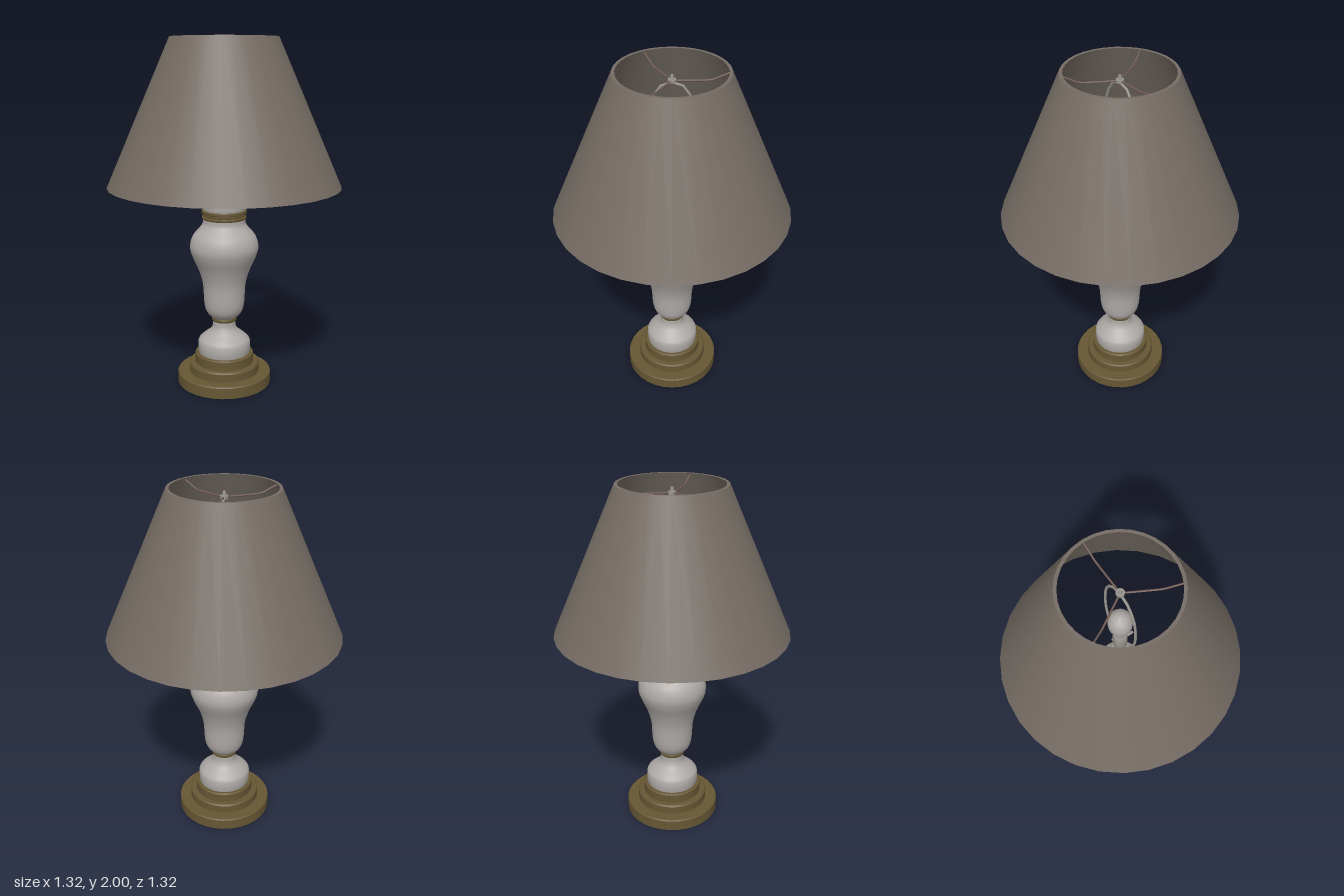
import * as THREE from 'three';
import { toCreasedNormals } from 'three/addons/utils/BufferGeometryUtils.js';

export function createModel() {
  const model = new THREE.Group();
  model.name = 'tableLamp';

  const material = (name, color) => {
    const m = new THREE.MeshStandardMaterial({ color });
    m.name = name;
    return m;
  };
  const fabric = material('shadeFabric', 0x756c64);
  const ceramic = material('ceramic', 0xaeaaa7);
  const brass = material('agedBrass', 0x665734);
  const steel = material('steel', 0x98948f);
  const wire = material('copperWire', 0x745d56);

  const add = (name, geometry, mat, parent = model) => {
    const mesh = new THREE.Mesh(geometry, mat);
    mesh.name = name;
    parent.add(mesh);
    return mesh;
  };
  // Turned part from [radius, height] pairs, with crisp corners kept
  const turned = (name, profile, mat, segments = 32) => {
    const pts = profile.map(([r, y]) => new THREE.Vector2(r, y));
    const geo = new THREE.LatheGeometry(pts, segments);
    return add(name, toCreasedNormals(geo, 0.6), mat);
  };
  const rod = (name, points, radius, mat, parent) => {
    const curve = new THREE.CatmullRomCurve3(points.map(p => new THREE.Vector3(...p)));
    return add(name, new THREE.TubeGeometry(curve, 24, radius, 8), mat, parent);
  };

  // Stepped base
  turned('base', [
    [0, 0], [0.275, 0], [0.275, 0.062], [0.27, 0.068], [0.207, 0.068],
    [0.207, 0.115], [0.2, 0.123], [0.172, 0.123], [0.172, 0.175], [0.167, 0.18], [0, 0.18],
  ], brass);

  // Ceramic foot and its collar
  turned('foot', [
    [0.15, 0.178], [0.153, 0.185], [0.153, 0.25], [0.146, 0.263], [0.115, 0.29],
    [0.085, 0.312], [0.071, 0.33], [0.067, 0.35], [0.067, 0.38],
  ], ceramic);
  turned('footCollar', [
    [0.06, 0.374], [0.069, 0.374], [0.073, 0.38], [0.073, 0.39], [0.069, 0.397], [0.06, 0.397],
  ], brass);

  // Vase body, smoothed through a few profile points
  const bodyCurve = new THREE.SplineCurve([
    [0.068, 0.395], [0.1, 0.425], [0.117, 0.48], [0.125, 0.6], [0.15, 0.69],
    [0.186, 0.77], [0.198, 0.825], [0.182, 0.885], [0.138, 0.938], [0.123, 0.965], [0.122, 0.995],
  ].map(p => new THREE.Vector2(...p)));
  turned('body', bodyCurve.getPoints(36).map(p => [p.x, p.y]), ceramic);

  // Banded neck ring
  const bands = [[0.1, 0.988]];
  for (const [y0, y1, r] of [[0.988, 1.006, 0.128], [1.006, 1.02, 0.122], [1.02, 1.04, 0.13]]) {
    bands.push([r - 0.004, y0], [r, y0 + 0.004], [r, y1 - 0.004], [r - 0.004, y1]);
  }
  bands.push([0.1, 1.04]);
  turned('neckRing', bands, brass);

  // Ceramic cap
  turned('cap', [
    [0.12, 1.038], [0.122, 1.045], [0.122, 1.075], [0.115, 1.085], [0.096, 1.098],
    [0.08, 1.118], [0.066, 1.138], [0.05, 1.153], [0.036, 1.162], [0, 1.162],
  ], ceramic);

  // Stem, socket and bulb
  turned('stem', [[0.033, 1.15], [0.033, 1.3], [0, 1.3]], steel, 20);
  turned('socket', [
    [0, 1.29], [0.045, 1.29], [0.045, 1.305], [0.027, 1.312], [0.027, 1.33],
    [0.037, 1.35], [0.037, 1.46], [0.032, 1.47], [0, 1.47],
  ], steel, 20);
  turned('bulb', [
    [0.026, 1.465], [0.03, 1.5], [0.046, 1.54], [0.06, 1.58], [0.064, 1.62],
    [0.058, 1.655], [0.042, 1.682], [0.02, 1.696], [0, 1.7],
  ], ceramic, 20);

  // Socket switch
  const knob = add('switchKnob', new THREE.CylinderGeometry(0.008, 0.008, 0.05, 10), steel);
  knob.rotation.z = Math.PI / 2;
  knob.position.set(0.055, 1.39, 0);

  // Harp: a wire loop and its saddle
  const harp = new THREE.Group();
  harp.name = 'harp';
  model.add(harp);
  const side = [[0.05, 1.3], [0.058, 1.36], [0.09, 1.46], [0.12, 1.58], [0.125, 1.7], [0.105, 1.84], [0.05, 1.925]];
  rod('harpLoop', [
    ...side.map(([z, y]) => [0, y, z]),
    [0, 1.94, 0],
    ...side.slice().reverse().map(([z, y]) => [0, y, -z]),
  ], 0.007, steel, harp);
  const saddle = add('saddle', new THREE.BoxGeometry(0.03, 0.012, 0.12), steel, harp);
  saddle.position.y = 1.298;
  for (const s of [-1, 1]) {
    const ferrule = add('ferrule', new THREE.CylinderGeometry(0.012, 0.012, 0.045, 10), steel, harp);
    ferrule.position.set(0, 1.32, s * 0.051);
  }

  // Spider: hub, finial and three arms to the top rim
  const spider = new THREE.Group();
  spider.name = 'shadeSpider';
  model.add(spider);
  const hub = add('hub', new THREE.CylinderGeometry(0.021, 0.021, 0.016, 16), steel, spider);
  hub.position.y = 1.95;
  const finial = add('finial', new THREE.CylinderGeometry(0.008, 0.011, 0.024, 12), steel, spider);
  finial.position.y = 1.968;
  for (let i = 0; i < 3; i++) {
    const arm = rod('spiderArm', [
      [0, 1.95, -0.012], [0, 1.95, -0.12], [0, 1.954, -0.2], [0, 1.975, -0.25], [0, 1.99, -0.284],
    ], 0.005, wire, spider);
    arm.rotation.y = i * Math.PI * 2 / 3;
  }

  // Shade: a thin-walled open cone
  turned('shade', [
    [0.647, 1.18], [0.66, 1.18], [0.3, 2], [0.283, 2], [0.647, 1.18],
  ], fabric);

  return model;
}
